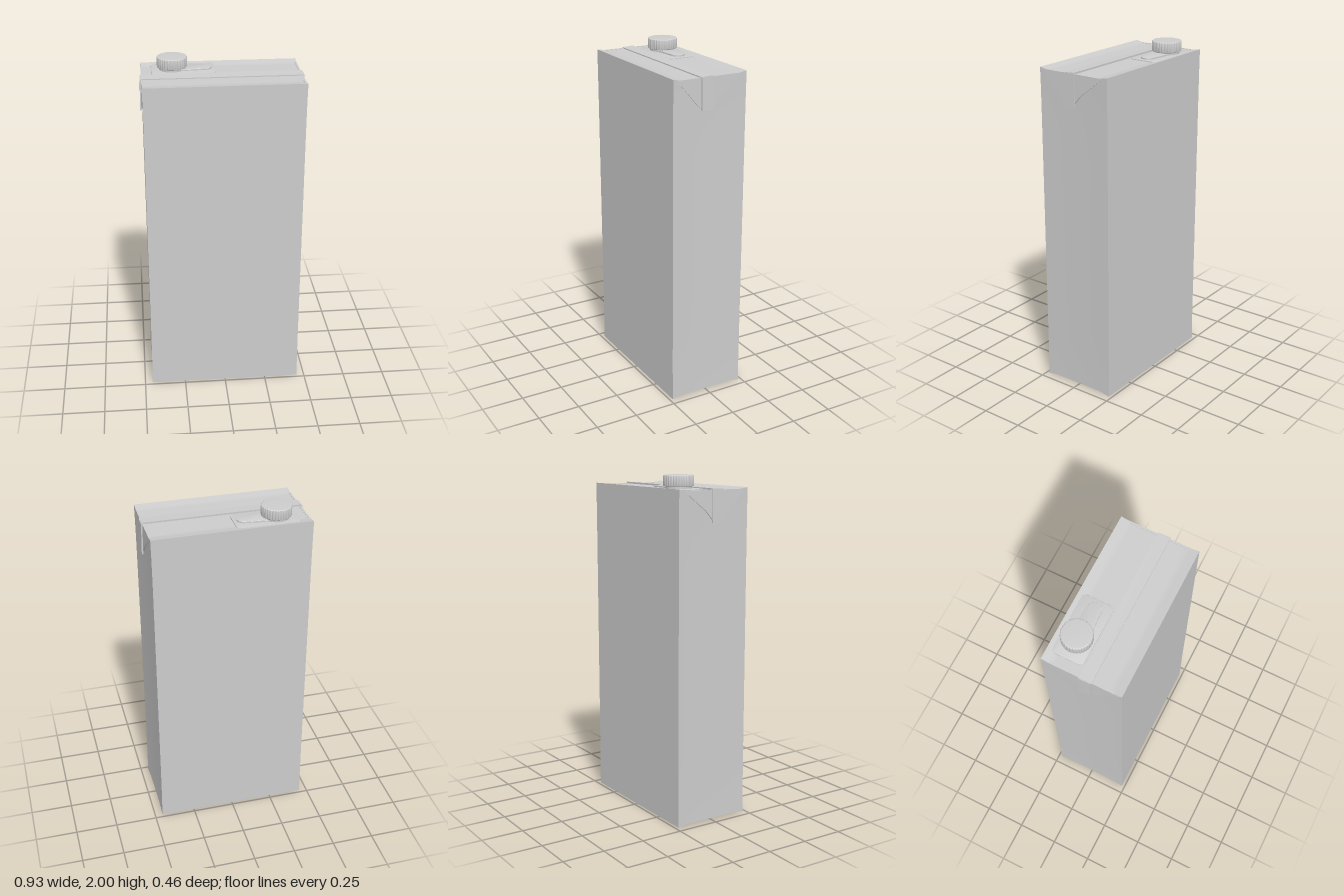
import * as THREE from 'three';
import { toCreasedNormals } from 'three/addons/utils/BufferGeometryUtils.js';

const cardboard = new THREE.MeshStandardMaterial({ color: 0xcccccc });
cardboard.name = 'plain grey';

function add(parent, name, geometry, crease = 0.5) {
  const mesh = new THREE.Mesh(toCreasedNormals(geometry, crease), cardboard);
  mesh.name = name;
  parent.add(mesh);
  return mesh;
}

// Outline given as [x, z] points, extruded upward from y to y + height
function slab(shape, y, height, bevel = 0) {
  const g = new THREE.ExtrudeGeometry(shape, {
    depth: height - 2 * bevel, bevelEnabled: bevel > 0, bevelSize: bevel,
    bevelThickness: bevel, bevelOffset: -bevel, bevelSegments: 3, curveSegments: 12,
  });
  g.rotateX(-Math.PI / 2); // shape y becomes -z
  g.translate(0, y + bevel, 0);
  return g;
}

const outline = (points) => new THREE.Shape(points.map(([x, z]) => new THREE.Vector2(x, -z)));

function roundedRect(x0, x1, z0, z1, r) {
  const s = new THREE.Shape();
  const a = -z1, b = -z0;
  s.absarc(x1 - r, a + r, r, -Math.PI / 2, 0);
  s.absarc(x1 - r, b - r, r, 0, Math.PI / 2);
  s.absarc(x0 + r, b - r, r, Math.PI / 2, Math.PI);
  s.absarc(x0 + r, a + r, r, Math.PI, Math.PI * 1.5);
  return s;
}

// Carton with slightly sunken ends, top and bottom panels
function bodyGeometry() {
  const g = new THREE.BoxGeometry(0.91, 1.93, 0.462, 24, 20, 32);
  const p = g.attributes.position;
  for (let i = 0; i < p.count; i++) {
    const x = p.getX(i), y = p.getY(i), z = p.getZ(i);
    const across = 1 - (z / 0.231) ** 2;
    const end = Math.abs(y) / 0.965;
    p.setX(i, x * (1 - 0.009 * across - 0.006 * (1 - end ** 8)));
    if (end > 0.999) {
      const sag = Math.min(1, (0.231 - Math.abs(z)) / 0.06);
      p.setY(i, y - Math.sign(y) * 0.01 * sag);
    }
  }
  g.translate(0, 0.965, 0);
  return g;
}

// Folded triangular ear lying flat: base at x = 0, blunt tip at x = length
function earGeometry(length, thickness) {
  return slab(outline([
    [0, -0.2], [length * 0.3, -0.135], [length * 0.65, -0.055], [length * 0.97, -0.005],
    [length, 0.005], [length, 0.05], [length * 0.9, 0.075], [length * 0.3, 0.165], [0, 0.215],
  ]), 0, thickness);
}

function seamGeometry(x0, x1, thickness) {
  return slab(outline([[x0, -0.01], [x1, -0.01], [x1, 0.06], [x0, 0.06]]), 0, thickness);
}

function capShape() {
  const ridges = 32, steps = 5, pts = [];
  for (let i = 0; i < ridges * steps; i++) {
    const a = (i / (ridges * steps)) * Math.PI * 2;
    const r = 0.083 + 0.0035 * Math.abs(Math.sin(a * ridges / 2));
    pts.push([-0.275 + r * Math.cos(a), -0.115 - r * Math.sin(a)]);
  }
  return outline(pts);
}

export function createModel() {
  const model = new THREE.Group();
  model.name = 'drinkCarton';
  add(model, 'body', bodyGeometry(), 0.4);

  // Flat seam along the top, its front edge thinning out
  const seam = seamGeometry(-0.458, 0.458, 0.01);
  const p = seam.attributes.position;
  for (let i = 0; i < p.count; i++) {
    if (p.getZ(i) > 0.03 && p.getY(i) > 0.005) p.setY(i, 0.006);
  }
  seam.translate(0, 1.92, 0);
  add(model, 'topSeam', seam, 0.2);

  const bottomSeam = seamGeometry(-0.445, 0.445, 0.006);
  bottomSeam.translate(0, 0.005, 0);
  add(model, 'bottomSeam', bottomSeam);

  // Ears folded down the ends and under the base
  for (const side of [1, -1]) {
    const ends = new THREE.Group();
    ends.name = side > 0 ? 'leftFolds' : 'rightFolds';
    ends.scale.x = side;

    const ear = earGeometry(0.175, 0.012);
    ear.rotateZ(-Math.PI / 2 + 0.01); // tip down, thickness outward
    ear.translate(0.443, 1.922, 0);
    add(ends, 'sideEar', ear);

    const strip = seamGeometry(0, 0.185, 0.009);
    strip.rotateZ(-Math.PI / 2 + 0.02);
    strip.translate(0.453, 1.925, -0.003);
    add(ends, 'sideSeam', strip);

    const under = earGeometry(0.19, 0.009);
    under.rotateZ(Math.PI);
    under.translate(0.442, 0.011, 0);
    add(ends, 'bottomEar', under);
    model.add(ends);
  }

  // Pouring closure: pad, pull tab, neck and ridged cap
  add(model, 'closurePad', slab(roundedRect(-0.395, -0.03, -0.207, -0.022, 0.03), 1.916, 0.01, 0.003));
  const tab = new THREE.Shape();
  tab.moveTo(-0.275, 0.05);
  tab.lineTo(-0.2, 0.065);
  tab.lineTo(-0.09, 0.073);
  tab.absarc(-0.09, 0.112, 0.04, -Math.PI / 2, Math.PI / 2);
  tab.lineTo(-0.2, 0.163);
  tab.lineTo(-0.275, 0.17);
  add(model, 'pullTab', slab(tab, 1.92, 0.015, 0.002));

  const neck = new THREE.CylinderGeometry(0.074, 0.074, 0.03, 48);
  neck.translate(-0.275, 1.932, -0.115);
  add(model, 'neck', neck);
  add(model, 'cap', slab(capShape(), 1.938, 0.062, 0.006), 0.45);
  return model;
}
